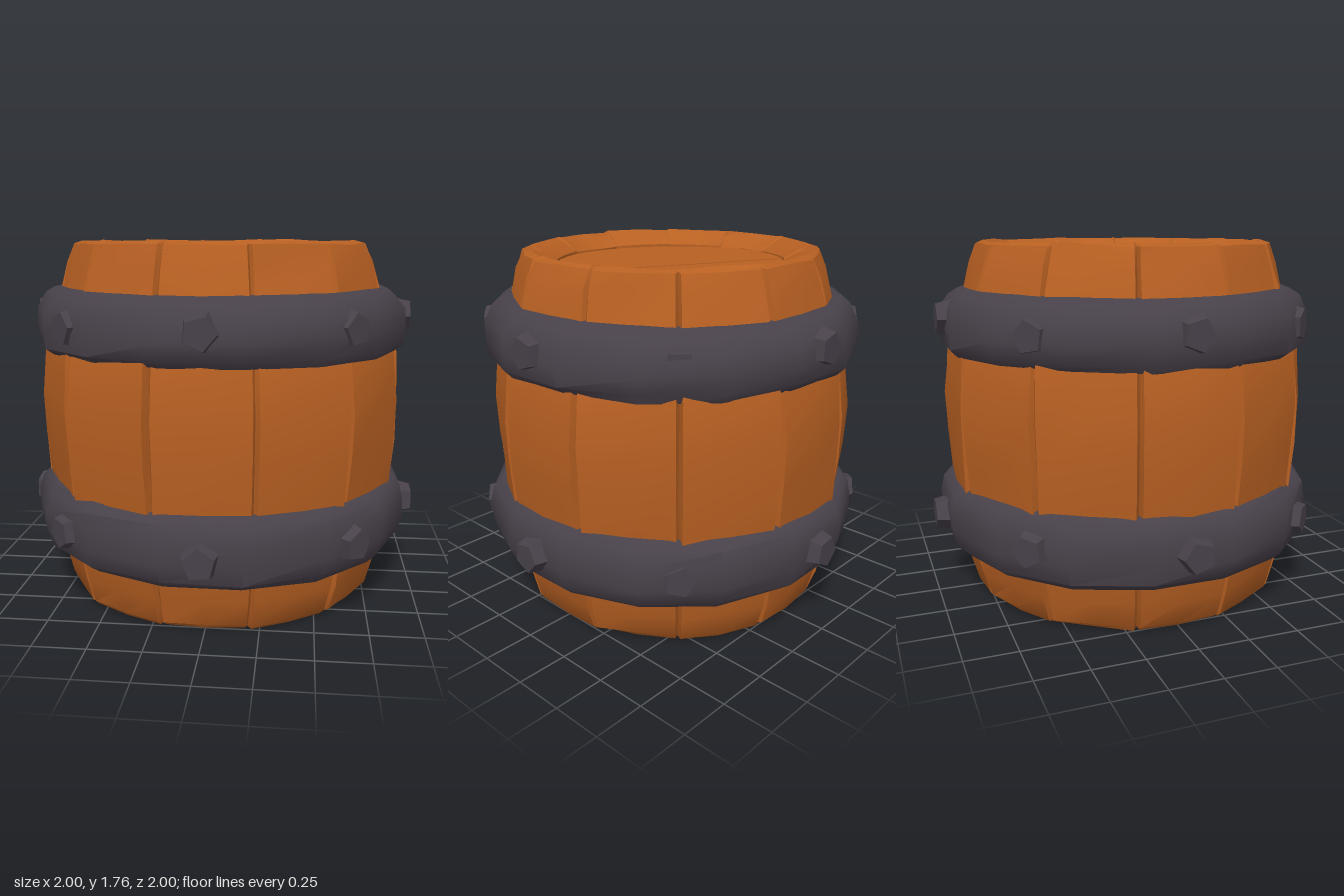
import * as THREE from 'three';
import { toCreasedNormals } from 'three/addons/utils/BufferGeometryUtils.js';

const wood = new THREE.MeshStandardMaterial({ color: 0xb86022 });
wood.name = 'orange brown wood';
const iron = new THREE.MeshStandardMaterial({ color: 0x48414a });
iron.name = 'dark iron';

// Small seeded generator, returns -1..1
function makeNoise(seed) {
  let s = seed;
  return () => {
    s = (s * 16807) % 2147483647;
    return (s / 2147483647) * 2 - 1;
  };
}

// Closed ring of columns swept through an [r, y] profile (bottom to top).
// columns: [angle, radius factor]; jitter gives a hand-hewn surface.
function hewnRing(profile, columns, seed, jitterR, jitterY, crease) {
  const noise = makeNoise(seed);
  const pos = [], idx = [];
  const n = columns.length;
  for (const [r, y, grooved = 1] of profile) {
    for (const [angle, factor] of columns) {
      const f = 1 + (factor - 1) * grooved;
      const rr = r === 0 ? 0 : r * f + noise() * jitterR;
      const yy = y + (r === 0 ? 0 : noise() * jitterY);
      pos.push(Math.sin(angle) * rr, yy, Math.cos(angle) * rr);
    }
  }
  for (let i = 0; i < profile.length - 1; i++) {
    for (let j = 0; j < n; j++) {
      const k = (j + 1) % n;
      const a = i * n + j, b = i * n + k, c = a + n, d = b + n;
      if (profile[i][0] > 0) idx.push(a, b, d);
      if (profile[i + 1][0] > 0) idx.push(a, d, c);
      else if (profile[i][0] > 0) idx.push();
    }
  }
  const g = new THREE.BufferGeometry();
  g.setAttribute('position', new THREE.Float32BufferAttribute(pos, 3));
  g.setIndex(idx);
  return toCreasedNormals(g, crease);
}

function add(parent, name, geometry, material) {
  const m = new THREE.Mesh(geometry, material);
  m.name = name;
  parent.add(m);
  return m;
}

// Three boards cut from a disc, running slightly askew
function boards(name, radius, y, tilt) {
  const group = new THREE.Group();
  group.name = name;
  const gap = 0.004;
  const cuts = [-radius, -0.145, 0.27, radius];
  for (let i = 0; i < 3; i++) {
    const t0 = Math.asin(Math.max(-1, (cuts[i] + gap) / radius));
    const t1 = Math.asin(Math.min(1, (cuts[i + 1] - gap) / radius));
    const shape = new THREE.Shape();
    shape.absarc(0, 0, radius, t0, t1, false);
    shape.absarc(0, 0, radius, Math.PI - t1, Math.PI - t0, false);
    const g = new THREE.ExtrudeGeometry(shape, { depth: 0.02, bevelEnabled: false, curveSegments: 6 });
    g.rotateX(Math.PI / 2);
    const board = add(group, 'board', g, wood);
    board.rotation.x = tilt * (i - 1);
  }
  group.rotation.y = -0.44;
  group.position.y = y;
  return group;
}

export function createModel() {
  const barrel = new THREE.Group();
  barrel.name = 'barrel';

  // Twelve staves with narrow grooves between them
  const columns = [];
  const staves = 12, step = (Math.PI * 2) / staves, groove = 0.016;
  const vary = makeNoise(77);
  for (let i = 0; i < staves; i++) {
    const mid = i * step, lift = vary() * 0.008;
    columns.push([mid - step / 2, 0.97]);
    columns.push([mid - step / 2 + groove, 1.008 + lift]);
    columns.push([mid, 0.995 + lift]);
    columns.push([mid + step / 2 - groove, 1.008 + lift * 0.5]);
  }
  const body = [
    [0, 0.025], [0.72, 0.025, 0.4], [0.765, 0.012], [0.79, 0.035], [0.825, 0.16],
    [0.855, 0.3], [0.89, 0.6], [0.905, 0.8], [0.91, 1.0], [0.89, 1.24],
    [0.8, 1.53], [0.765, 1.66], [0.73, 1.75], [0.69, 1.762, 0.7],
    [0.63, 1.735, 0.3], [0.565, 1.695, 0], [0.565, 1.66, 0], [0, 1.66],
  ];
  add(barrel, 'staves', hewnRing(body, columns, 4211, 0.008, 0.005, 0.6), wood);

  // Recessed lid and base
  barrel.add(boards('lid', 0.56, 1.69, 0.012));
  barrel.add(boards('base', 0.73, 0.032, 0.004));

  // Iron hoops
  const sides = 16;
  const hoopColumns = Array.from({ length: sides }, (_, i) => [((i + 0.5) / sides) * Math.PI * 2, 1]);
  const lower = [
    [0.83, 0.26], [0.9, 0.262], [0.94, 0.3], [0.96, 0.38], [0.96, 0.48], [0.94, 0.56], [0.9, 0.597], [0.83, 0.6],
  ];
  const upper = [
    [0.83, 1.235], [0.895, 1.237], [0.925, 1.27], [0.94, 1.35], [0.925, 1.44], [0.885, 1.51], [0.84, 1.538], [0.75, 1.542],
  ];
  add(barrel, 'lowerHoop', hewnRing(lower, hoopColumns, 911, 0.009, 0.005, 0.75), iron);
  add(barrel, 'upperHoop', hewnRing(upper, hoopColumns, 523, 0.009, 0.005, 0.75), iron);

  // Eight chunky rivets on each hoop
  const rivetNoise = makeNoise(3057);
  for (const [name, y, reach] of [['lowerRivet', 0.43, 1.0], ['upperRivet', 1.395, 0.953]]) {
    for (let i = 0; i < 8; i++) {
      const g = new THREE.CylinderGeometry(0.075, 0.115, 0.16, 5).toNonIndexed();
      g.computeVertexNormals();
      g.rotateY(rivetNoise() * 0.6);
      g.rotateX(Math.PI / 2);
      const angle = (i * Math.PI) / 4;
      const r = reach - 0.08 - (i % 2 ? 0.015 : 0) - (i === 3 ? 0.03 : 0);
      const rivet = add(barrel, name, g, iron);
      rivet.position.set(Math.sin(angle) * r, y + rivetNoise() * 0.015, Math.cos(angle) * r);
      rivet.rotation.y = angle;
    }
  }
  return barrel;
}
